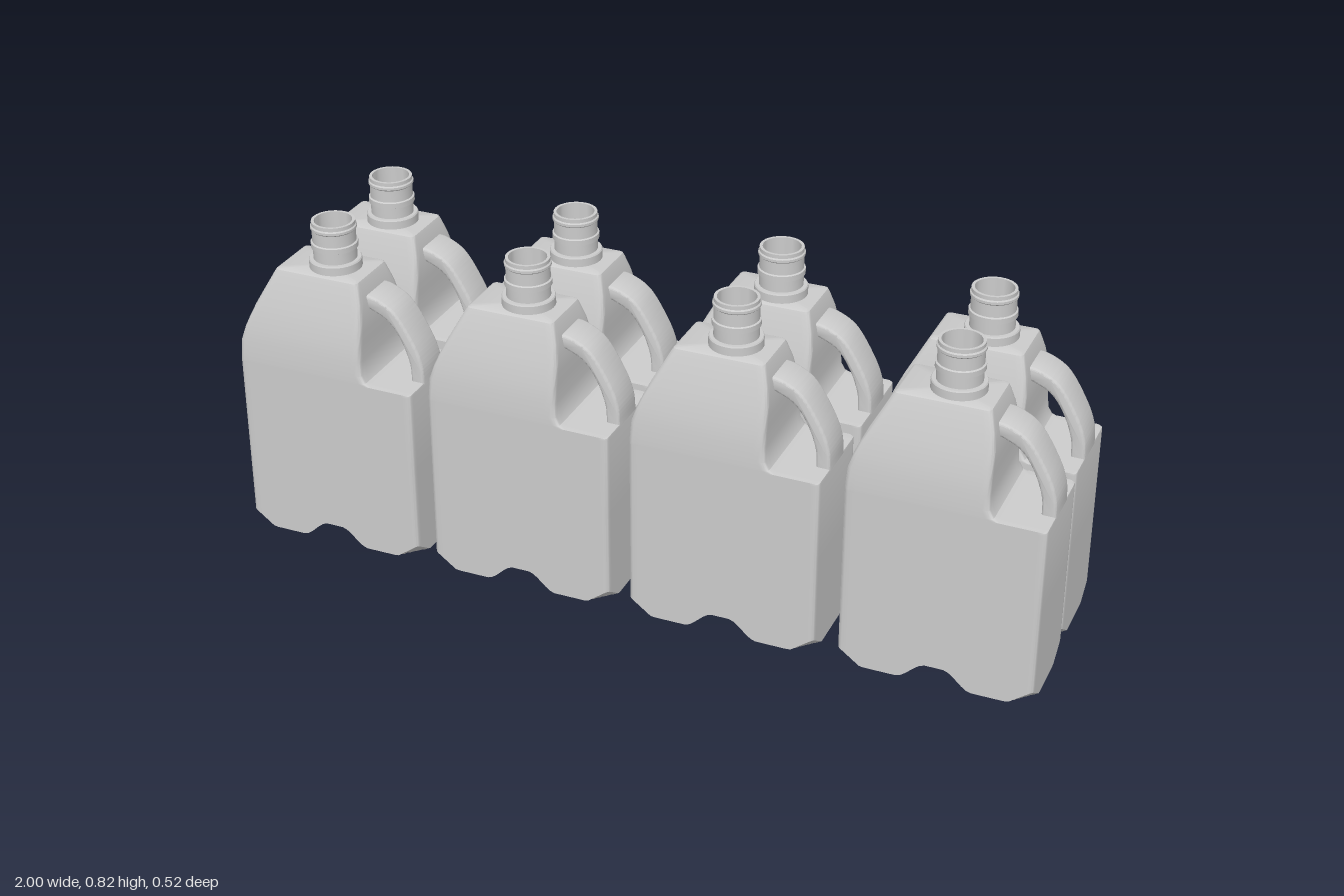
import * as THREE from 'three';
import { toCreasedNormals } from 'three/addons/utils/BufferGeometryUtils.js';

const material = new THREE.MeshStandardMaterial({ color: 0xcccccc });
const HALF_X = 0.23, HALF_Z = 0.121, CORNER = 0.01;
const COLS = 40, ROWS = 24, ARC = 3;

// Underside height: a channel across the middle and four cut-off corners
function undersideHeight(x, z) {
  const t = THREE.MathUtils.smoothstep(0.09 - Math.abs(x), 0, 0.07);
  const cut = 1 - (HALF_X - Math.abs(x)) / 0.056 - (HALF_Z - Math.abs(z)) / 0.06;
  return Math.max(0, 0.045 * t, 0.042 * cut);
}

// Columns of a rounded rectangle from its left to its right end, as [x, half depth]
function columns(xl, xr, hz) {
  const out = [], r = CORNER;
  for (let i = 0; i <= ARC; i++) {
    const a = (i / ARC) * Math.PI / 2;
    out.push([xl + r * (1 - Math.cos(a)), hz - r * (1 - Math.sin(a))]);
  }
  for (let i = 1; i < COLS; i++) out.push([THREE.MathUtils.lerp(xl + r, xr - r, i / COLS), hz]);
  for (let i = ARC; i >= 0; i--) {
    const a = (i / ARC) * Math.PI / 2;
    out.push([xr - r * (1 - Math.cos(a)), hz - r * (1 - Math.sin(a))]);
  }
  return out;
}

// Closed outline: front, right end, back, left end
function outline(xl, xr, hz) {
  const cols = columns(xl, xr, hz), ring = cols.map(([x, z]) => [x, z]);
  const endZ = cols[0][1];
  for (let k = 1; k < ROWS; k++) ring.push([xr, endZ * (1 - 2 * k / ROWS)]);
  for (const [x, z] of [...cols].reverse()) ring.push([x, -z]);
  for (let k = 1; k < ROWS; k++) ring.push([xl, -endZ * (1 - 2 * k / ROWS)]);
  return ring;
}

function bodyGeometry() {
  // Levels: height, left x, right x, half depth; the step at 0.456 is the ledge under the handle
  const levels = [
    [0, -0.23, 0.23, 0.121], [0.05, -0.23, 0.23, 0.121], [0.25, -0.23, 0.23, 0.121],
    [0.45, -0.23, 0.23, 0.121], [0.454, -0.23, 0.229, 0.121], [0.456, -0.23, 0.225, 0.121],
    [0.457, -0.23, 0.125, 0.121], [0.463, -0.23, 0.111, 0.121], [0.48, -0.229, 0.101, 0.12],
    [0.515, -0.226, 0.098, 0.118], [0.55, -0.215, 0.097, 0.113], [0.58, -0.202, 0.097, 0.107],
    [0.61, -0.188, 0.096, 0.1], [0.65, -0.167, 0.09, 0.088], [0.69, -0.146, 0.079, 0.075],
    [0.697, -0.142, 0.076, 0.072], [0.7, -0.136, 0.07, 0.066],
  ];
  const pos = [], idx = [];
  const add = (x, y, z) => pos.push(x, y, z) / 3 - 1;

  // Walls and shoulders
  const rings = levels.map(([y, xl, xr, hz], j) =>
    outline(xl, xr, hz).map(([x, z]) => add(x, j ? y : undersideHeight(x, z), z)));
  const n = rings[0].length;
  for (let j = 0; j < rings.length - 1; j++) {
    for (let i = 0; i < n; i++) {
      const k = (i + 1) % n, lo = rings[j], hi = rings[j + 1];
      idx.push(lo[i], lo[k], hi[k], lo[i], hi[k], hi[i]);
    }
  }

  // Flat top
  const top = rings[rings.length - 1], centre = add(-0.03, 0.7, 0);
  for (let i = 0; i < n; i++) idx.push(centre, top[i], top[(i + 1) % n]);

  // Underside
  const grid = columns(-HALF_X, HALF_X, HALF_Z).map(([x, hz]) =>
    Array.from({ length: ROWS + 1 }, (_, k) => {
      const z = hz * (1 - 2 * k / ROWS);
      return add(x, undersideHeight(x, z), z);
    }));
  for (let i = 0; i < grid.length - 1; i++) {
    for (let k = 0; k < ROWS; k++) {
      const a = grid[i][k], b = grid[i][k + 1], c = grid[i + 1][k], d = grid[i + 1][k + 1];
      idx.push(a, b, c, b, d, c);
    }
  }
  const geo = new THREE.BufferGeometry();
  geo.setAttribute('position', new THREE.Float32BufferAttribute(pos, 3));
  geo.setIndex(idx);
  return toCreasedNormals(geo, 0.6);
}

// Hollow neck with collar and two raised rings
function neckGeometry() {
  const profile = [
    [0.063, 0.695], [0.063, 0.72], [0.061, 0.723], [0.052, 0.723], [0.052, 0.75],
    [0.056, 0.752], [0.056, 0.765], [0.052, 0.767], [0.052, 0.797], [0.055, 0.8],
    [0.055, 0.806], [0.052, 0.809], [0.052, 0.818], [0.045, 0.818], [0.045, 0.705], [0, 0.705],
  ].map(([x, y]) => new THREE.Vector2(x, y));
  return toCreasedNormals(new THREE.LatheGeometry(profile, 32), 0.5);
}

// Curved strap handle, slightly wider at its ends
function handleGeometry() {
  const v = (pts) => pts.map(([x, y]) => new THREE.Vector2(x, y));
  const bevel = 0.006, half = 0.048;
  const shape = new THREE.Shape();
  shape.moveTo(0.07, 0.66);
  shape.splineThru(v([[0.11, 0.655], [0.16, 0.625], [0.205, 0.555], [0.226, 0.5], [0.23, 0.45]]));
  shape.lineTo(0.197, 0.45);
  shape.splineThru(v([[0.193, 0.5], [0.17, 0.56], [0.135, 0.605], [0.075, 0.632]]));
  const geo = new THREE.ExtrudeGeometry(shape, {
    depth: 2 * (half - bevel), curveSegments: 20, bevelEnabled: true,
    bevelThickness: bevel, bevelSize: bevel, bevelOffset: -bevel, bevelSegments: 3,
  });
  geo.translate(0, 0, bevel - half);
  const p = geo.attributes.position;
  for (let i = 0; i < p.count; i++) {
    const t = (p.getY(i) - 0.57) / 0.12;
    p.setZ(i, p.getZ(i) * (0.97 + 0.06 * t * t));
  }
  return toCreasedNormals(geo, 0.6);
}

export function createModel() {
  const model = new THREE.Group();
  model.name = 'jugs';
  const parts = { body: bodyGeometry(), neck: neckGeometry(), handle: handleGeometry() };

  // Two rows of four jugs
  const places = [
    [-0.77, 0.14], [-0.262, 0.14], [0.252, 0.14], [0.77, 0.14],
    [-0.77, -0.141], [-0.266, -0.128], [0.252, -0.141], [0.763, -0.128],
  ];
  for (const [x, z] of places) {
    const jug = new THREE.Group();
    jug.name = 'jug';
    for (const [name, geo] of Object.entries(parts)) {
      const mesh = new THREE.Mesh(geo, material);
      mesh.name = name;
      if (name === 'neck') mesh.position.x = -0.017;
      jug.add(mesh);
    }
    jug.position.set(x, 0, z);
    model.add(jug);
  }
  return model;
}
